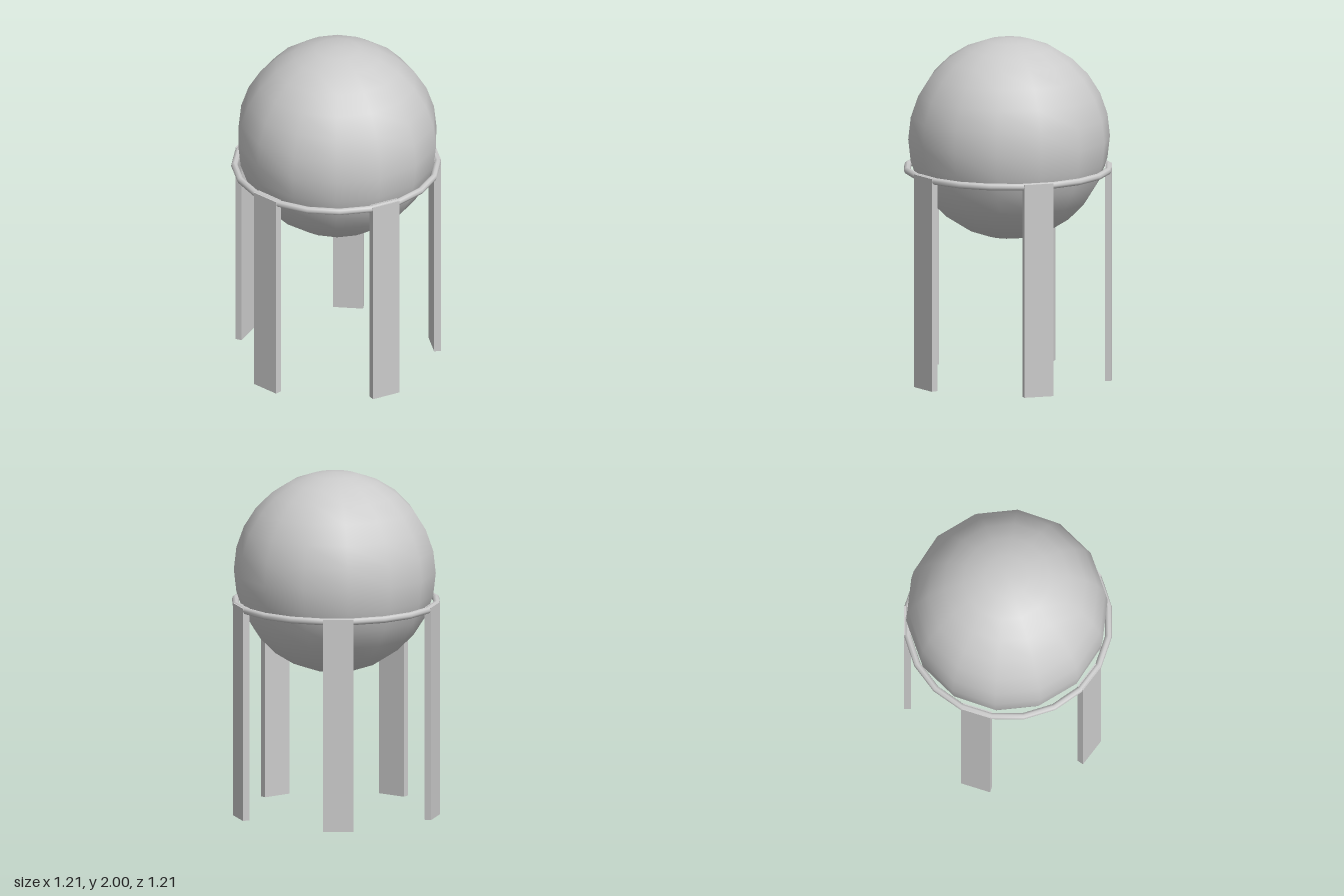
import * as THREE from 'three';

export function createModel() {
  const group = new THREE.Group();
  const grey = new THREE.MeshStandardMaterial({ color: 0xcccccc });
  const add = (name, geometry, x, y, z) => {
    const mesh = new THREE.Mesh(geometry, grey);
    mesh.name = name;
    mesh.position.set(x, y, z);
    group.add(mesh);
    return mesh;
  };

  // Ball resting in the stand
  add('ball', new THREE.SphereGeometry(0.585, 14, 14), 0.01, 1.415, 0);

  // Ring around the ball
  const ring = new THREE.TorusGeometry(0.586, 0.02, 8, 20);
  ring.rotateX(Math.PI / 2);
  add('supportRing', ring, 0, 1.235, 0);

  // Five flat legs, evenly spaced and facing outwards
  const legHeight = 1.25, legRadius = 0.58;
  const legShape = new THREE.BoxGeometry(0.176, legHeight, 0.04);
  for (let i = 0; i < 5; i++) {
    const a = THREE.MathUtils.degToRad(27 + i * 72);
    const leg = add('leg' + (i + 1), legShape,
      legRadius * Math.cos(a), legHeight / 2, legRadius * Math.sin(a));
    leg.rotation.y = Math.PI / 2 - a;
  }

  return group;
}
